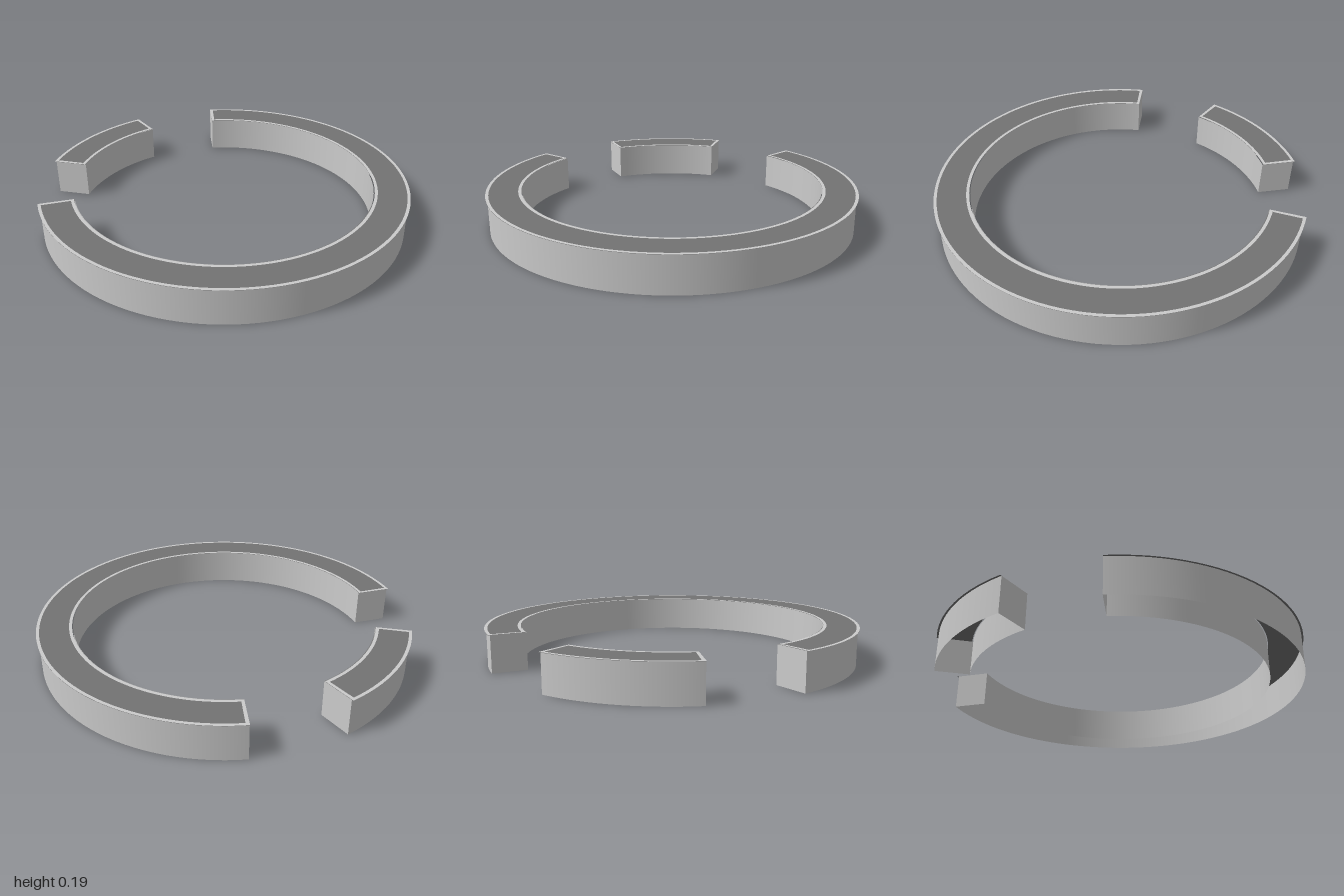
import * as THREE from 'three';

const H = 0.193;                      // wall height
const WALL_IN = 0.81, WALL_OUT = 0.99; // channel walls
const TOP_IN = 0.815, TOP_OUT = 1.0;   // cover, slightly overhanging outside
const RIM = 0.016;                     // width of the light border
const CENTRE_Z = -0.02;
const rad = THREE.MathUtils.degToRad;

const grey = new THREE.MeshStandardMaterial({ color: 0xcccccc, side: THREE.DoubleSide });
const rimGrey = new THREE.MeshStandardMaterial({ color: 0xcccccc });
const dark = new THREE.MeshStandardMaterial({ color: 0x737373, side: THREE.DoubleSide });

function add(group, name, geometry, material) {
  const mesh = new THREE.Mesh(geometry, material);
  mesh.name = name;
  group.add(mesh);
  return mesh;
}

// Flat ring sector facing up; angles run from +z towards +x
function flatSector(r0, r1, start, length, y, segments) {
  return new THREE.RingGeometry(r0, r1, segments, 1, start - Math.PI / 2, length)
    .rotateX(-Math.PI / 2).translate(0, y, 0);
}

// One curved channel, open underneath, with a bordered cover on top
function arcChannel(name, startDeg, endDeg) {
  const group = new THREE.Group();
  group.name = name;
  const start = rad(startDeg), length = rad(endDeg - startDeg);
  const segments = Math.ceil((endDeg - startDeg) / 3);

  // Curved walls
  for (const [part, r] of [['outerWall', WALL_OUT], ['innerWall', WALL_IN]]) {
    const wall = new THREE.CylinderGeometry(r, r, H, segments, 1, true, start, length);
    add(group, part, wall.translate(0, H / 2, 0), grey);
  }

  // Flat end walls
  for (const angle of [start, start + length]) {
    const end = new THREE.PlaneGeometry(WALL_OUT - WALL_IN, H)
      .translate((WALL_IN + WALL_OUT) / 2, H / 2, 0).rotateY(angle - Math.PI / 2);
    add(group, 'endWall', end, grey);
  }

  // Dark cover
  add(group, 'cover', flatSector(TOP_IN, TOP_OUT, start, length, H, segments), dark);

  // Light border along the curves and the ends
  const y = H + 0.002, a = RIM / 0.9;
  add(group, 'outerBorder', flatSector(TOP_OUT - RIM, TOP_OUT, start, length, y, segments), rimGrey);
  add(group, 'innerBorder', flatSector(TOP_IN, TOP_IN + RIM, start, length, y, segments), rimGrey);
  for (const s of [start, start + length - a]) {
    add(group, 'endBorder', flatSector(TOP_IN + RIM, TOP_OUT - RIM, s, a, y, 1), rimGrey);
  }
  return group;
}

export function createModel() {
  const model = new THREE.Group();
  model.name = 'brokenRing';
  model.add(arcChannel('longArc', 266.2, 525.7));
  model.add(arcChannel('shortArc', 194.3, 237.8));
  for (const arc of model.children) arc.position.z = CENTRE_Z;
  return model;
}
